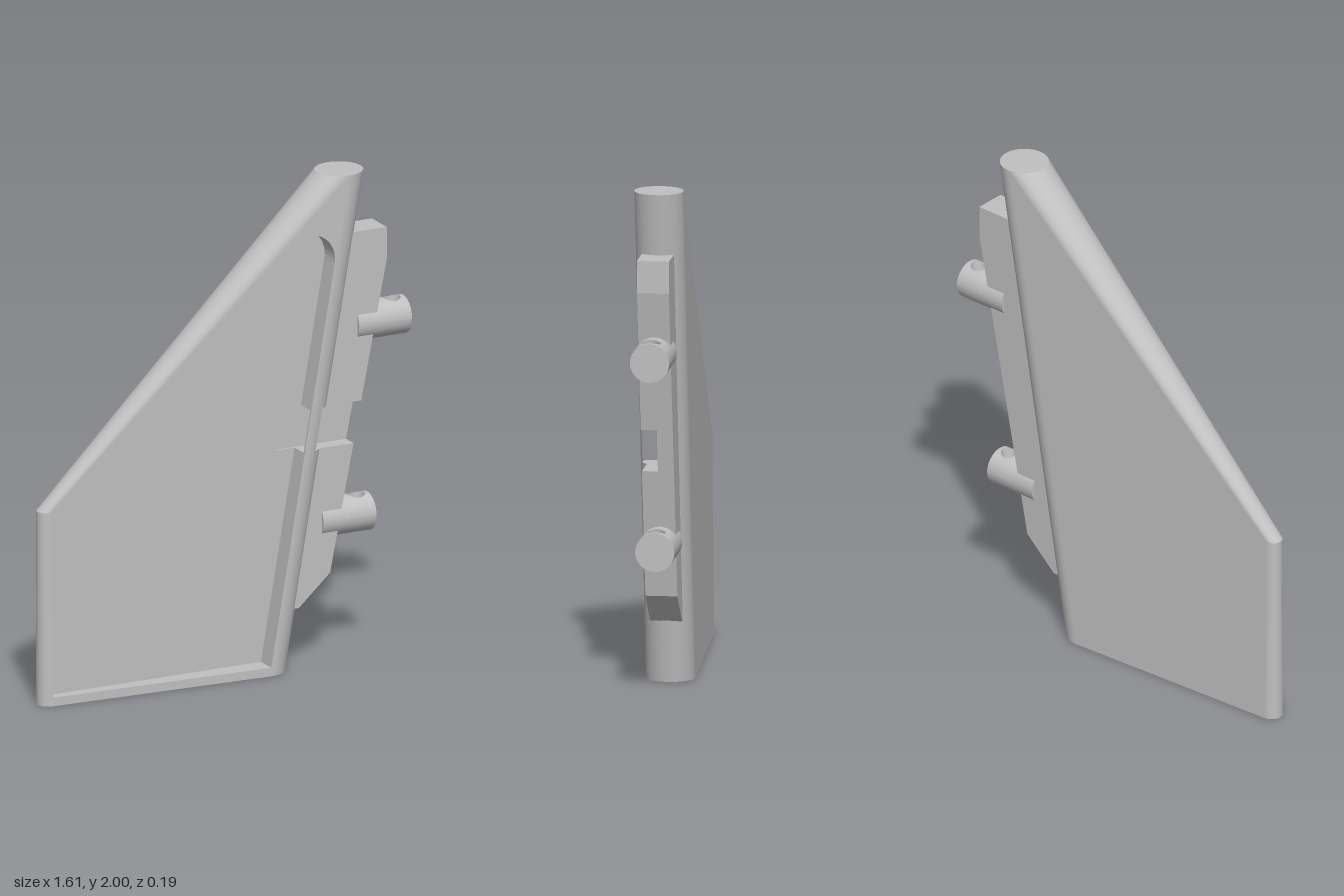
import * as THREE from 'three';

const R = 0.096, S = 0.0535, C = Math.sqrt(1 - S * S), ALPHA = Math.asin(S);
const KNEE = 0.79, SLOT = [0.89, 1.06], SLOT_Z = 0.085, SLOT_END = 0.24;
const FLOOR_Z = 0.008, LEFT = -0.806;

const V = (x, y, z) => new THREE.Vector3(x, y, z);
const lerp = THREE.MathUtils.lerp;
const range = (n, f) => Array.from({ length: n + 1 }, (_, i) => f(i / n));

// Raked spar axis, thin-edge axis and the flat side plane tangent to both
const spar = (y) => 0.178 + 0.1725 * y;
const upright = (y) => (LEFT + R - S * spar(y)) / (1 - S);
const edge = (y) => (y <= KNEE ? upright(y) : lerp(upright(KNEE), spar(2), (y - KNEE) / (2 - KNEE)));
const edgeR = (y) => R - S * (spar(y) - edge(y));
const sideZ = (x, y) => (R + S * (x - spar(y))) / C;

// Surface through rows of points
function loft(rows) {
  const n = rows[0].length, index = [];
  for (let i = 0; i < rows.length - 1; i++) {
    for (let j = 0; j < n - 1; j++) {
      const a = i * n + j, b = a + n;
      index.push(a, b, a + 1, b, b + 1, a + 1);
    }
  }
  const g = new THREE.BufferGeometry().setFromPoints(rows.flat());
  g.setIndex(index);
  g.computeVertexNormals();
  return g;
}

// Flat shape whose points are moved into place by a rule
function sheet(points, place, hole) {
  const shape = new THREE.Shape(points.map(([x, y]) => new THREE.Vector2(x, y)));
  if (hole) shape.holes.push(new THREE.Path(hole.map(([x, y]) => new THREE.Vector2(x, y))));
  const g = new THREE.ShapeGeometry(shape), p = g.attributes.position;
  for (let i = 0; i < p.count; i++) {
    const v = place(p.getX(i), p.getY(i));
    p.setXYZ(i, v.x, v.y, v.z);
  }
  g.computeVertexNormals();
  return g;
}

function slab(points, z0, z1) {
  const shape = new THREE.Shape(points.map(([x, y]) => new THREE.Vector2(x, y)));
  return new THREE.ExtrudeGeometry(shape, { depth: z1 - z0, bevelEnabled: false }).translate(0, 0, z0);
}

export function createModel() {
  const model = new THREE.Group();
  model.name = 'finPanel';
  const grey = new THREE.MeshStandardMaterial({ color: 0xc0c0c0, side: THREE.DoubleSide });
  grey.name = 'plain grey';
  const group = (name) => {
    const g = new THREE.Group();
    g.name = name;
    model.add(g);
    return g;
  };
  const add = (parent, name, geometry) => {
    const m = new THREE.Mesh(geometry, grey);
    m.name = name;
    parent.add(m);
    return m;
  };

  // Rounded spar, with an opening for the slot
  const fin = group('fin');
  const arc = (cx, r, y, a, b, n) =>
    range(n, (t) => V(cx + r * Math.cos(lerp(a, b, t)), y, r * Math.sin(lerp(a, b, t))));
  const A = Math.PI / 2 + ALPHA, slotA = Math.asin(SLOT_Z / R);
  const sparArc = (y, a = A, b = -A, n = 40) => arc(spar(y), R, y, a, b, n);
  add(fin, 'sparLower', loft([0, SLOT[0]].map((y) => sparArc(y))));
  add(fin, 'sparUpper', loft([SLOT[1], 2].map((y) => sparArc(y))));
  add(fin, 'sparFrontStrip', loft(SLOT.map((y) => sparArc(y, A, slotA, 6))));
  add(fin, 'sparBackStrip', loft(SLOT.map((y) => sparArc(y, 0, -A, 20))));

  // Rounded thin edge: upright part, then the sloping part
  const edgeArc = (y) => arc(edge(y), edgeR(y), y, -A, A - 2 * Math.PI, 24);
  add(fin, 'uprightEdge', loft([0, KNEE].map(edgeArc)));
  add(fin, 'slopingEdge', loft([KNEE, 2].map(edgeArc)));

  // End caps
  const capOutline = (y) => [...sparArc(y), ...edgeArc(y)].map((p) => [p.x, -p.z]);
  add(fin, 'bottomCap', sheet(capOutline(0), (x, z) => V(x, 0, z)));
  add(fin, 'topCap', sheet(sparArc(2, Math.PI, -Math.PI).slice(1).map((p) => [p.x, -p.z]),
    (x, z) => V(x, 2, -z)));

  // Flat sides; the front one has a recess with a rounded top corner
  const side = [
    [edge(0) - S * edgeR(0), 0], [spar(0) - S * R, 0],
    [spar(2) - S * R, 2], [edge(KNEE) - S * edgeR(KNEE), KNEE],
  ];
  const recessX = (y) => spar(y) - 0.008;
  const before = [[-0.76, 0.035], [recessX(0.035), 0.035], [recessX(SLOT[0]), SLOT[0]]];
  const after = [
    [recessX(SLOT[1]), SLOT[1]],
    ...range(16, (t) => {
      const a = THREE.MathUtils.degToRad(lerp(-9.8, 133.4, t));
      return [0.3465 + 0.11 * Math.cos(a), 1.668 + 0.11 * Math.sin(a)];
    }),
    [-0.76, 0.785],
  ];
  const recess = [...before, ...after];
  add(fin, 'frontSide', sheet(side, (x, y) => V(x, y, sideZ(x, y)), recess));
  add(fin, 'backSide', sheet(side, (x, y) => V(x, y, -sideZ(x, y))));
  add(fin, 'recessFloor', sheet([...before, [SLOT_END, SLOT[0]], [SLOT_END, SLOT[1]], ...after],
    (x, y) => V(x, y, FLOOR_Z)));
  recess.forEach(([x0, y0], i) => {
    if (i === 2) return; // the slot breaks through here
    const [x1, y1] = recess[(i + 1) % recess.length];
    add(fin, 'recessWall', loft([
      [V(x0, y0, sideZ(x0, y0)), V(x1, y1, sideZ(x1, y1))],
      [V(x0, y0, FLOOR_Z), V(x1, y1, FLOOR_Z)],
    ]));
  });

  // Slot through the spar into the recess
  const slot = group('slot');
  const [s0, s1] = SLOT;
  add(slot, 'slotBack', loft([
    [V(SLOT_END, s1, 0), V(0.4, s1, 0)], [V(SLOT_END, s0, 0), V(0.4, s0, 0)],
  ]));
  add(slot, 'slotEnd', loft([
    [V(SLOT_END, s1, FLOOR_Z), V(SLOT_END, s1, 0)],
    [V(SLOT_END, s0, FLOOR_Z), V(SLOT_END, s0, 0)],
  ]));
  add(slot, 'slotFront', loft(SLOT.map((y) =>
    [V(recessX(y), y, SLOT_Z), V(spar(y) + R * Math.cos(slotA), y, SLOT_Z)])));
  add(slot, 'slotFrontLip', loft(SLOT.map((y) =>
    [V(recessX(y), y, sideZ(recessX(y), y)), V(recessX(y), y, SLOT_Z)])));
  for (const y of SLOT) {
    const x = recessX(y);
    add(slot, 'slotWall', sheet([
      [SLOT_END, 0], [SLOT_END, FLOOR_Z], [x, FLOOR_Z], [x, SLOT_Z],
      ...sparArc(y, slotA, 0, 10).map((p) => [p.x, p.z]),
    ], (px, pz) => V(px, y, pz)));
  }

  // Mounting rail, notched on its front half
  const rail = group('mountingRail');
  const W = 0.063;
  const inner = (y) => [spar(y) + 0.02, y];
  const outer = (y) => [0.452 + 0.2 * (y - 0.375), y];
  const foot = [inner(0.25), [0.314, 0.25], [0.452, 0.375]];
  const head = [[0.702, 1.625], [0.702, 1.753], inner(1.753)];
  add(rail, 'railBack', slab([...foot, ...head], -W, 0));
  add(rail, 'railFrontLower', slab([...foot, outer(s0), inner(s0)], 0, W));
  add(rail, 'railFrontUpper', slab([inner(s1), outer(s1), ...head], 0, W));

  // Round pegs, each with a cross hole near the tip that leans with the spar
  const r = 0.077, h = 0.036, half = 0.065, length = 0.233, lean = 0.1725, Q = Math.PI / 2;
  const onPeg = (x, a, k) => V(x - half, k * r * Math.cos(a), r * Math.sin(a));
  const border = [
    ...range(16, (t) => [half, lerp(-Q, Q, t)]), ...range(16, (t) => [lerp(half, -half, t), Q]),
    ...range(16, (t) => [-half, lerp(Q, -Q, t)]), ...range(16, (t) => [lerp(-half, half, t), -Q]),
  ];
  const rim = (k) => border.map(([x, a]) => {
    const d = Math.atan2(a / Q, x / half);
    const around = Math.asin((h * Math.sin(d)) / r);
    return [h * Math.cos(d) + k * lean * r * Math.cos(around), around];
  });
  const skin = (k) => {
    const inside = rim(k);
    const rows = range(8, (t) => border.map(([x, a], i) =>
      onPeg(lerp(inside[i][0], x, t), lerp(inside[i][1], a, t), k)));
    return loft(k > 0 ? rows : rows.reverse());
  };
  const skins = [skin(1), skin(-1)];
  const bore = loft([1, -1].map((k) => rim(k).map(([x, a]) => onPeg(x, a, k))));
  const shankLength = length - 2 * half;
  const shank = new THREE.CylinderGeometry(r, r, shankLength, 48, 1, true)
    .rotateZ(Q).translate(-2 * half - shankLength / 2, 0, 0);
  const disc = new THREE.CircleGeometry(r, 48).rotateY(Q);
  for (const [x, y] of [[0.806, 1.367], [0.649, 0.585]]) {
    const peg = group('peg');
    peg.position.set(x, y, 0);
    skins.forEach((g) => add(peg, 'pegSkin', g));
    add(peg, 'pegBore', bore);
    add(peg, 'pegShank', shank);
    add(peg, 'pegTip', disc);
    const root = add(peg, 'pegRoot', disc);
    root.rotation.y = Math.PI;
    root.position.x = -length;
  }
  return model;
}
